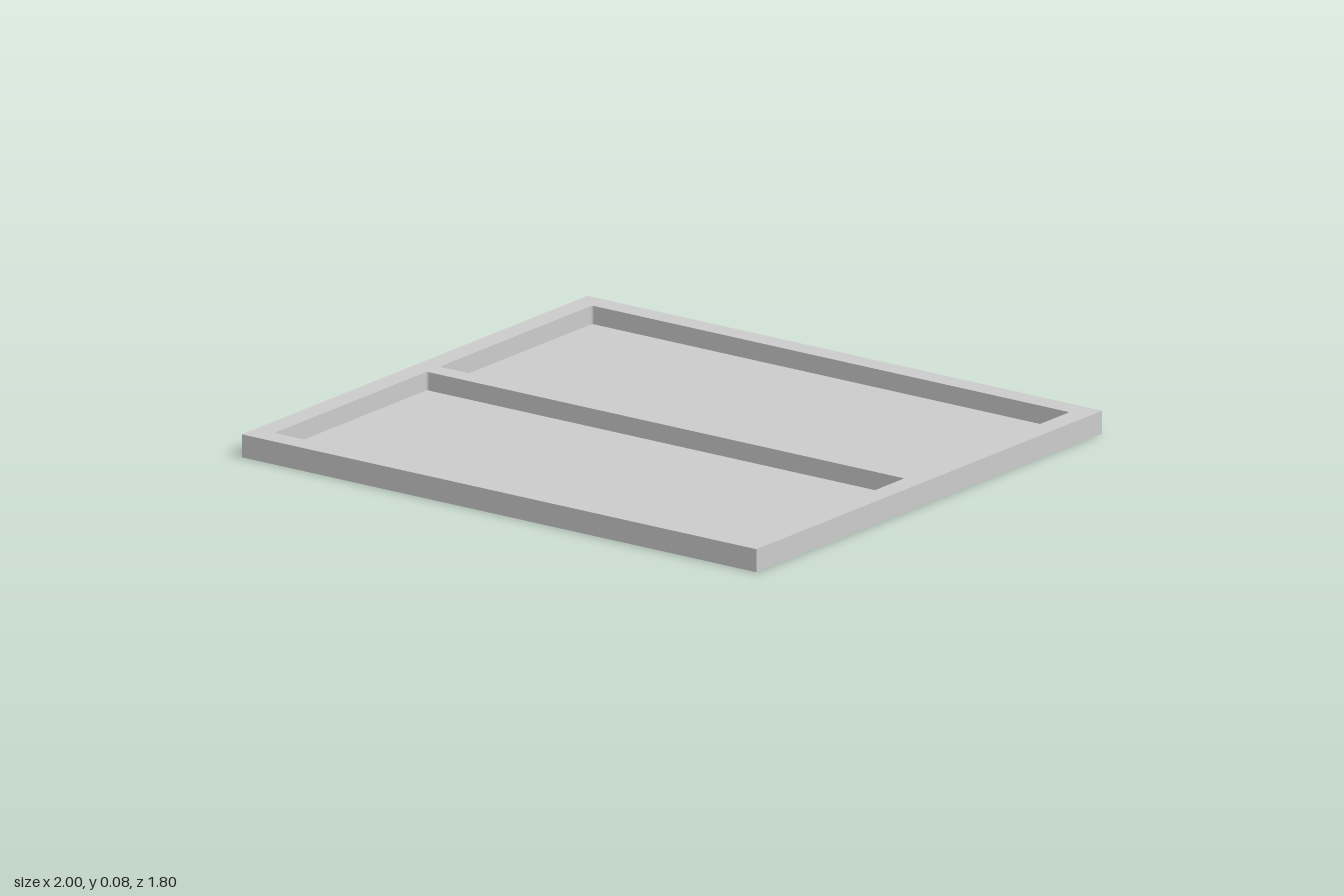
import * as THREE from 'three';

const HEIGHT = 0.075, FLOOR = 0.015;
const HALF_X = 1, HALF_Z = 0.9;
const POCKET = { halfX: 0.928, halfZ: 0.397, z: 0.43, radius: 0.008 };

// Outline of one pocket with slightly rounded corners
function pocketOutline(zc, Type) {
  const { halfX: a, halfZ: b, radius: r } = POCKET;
  const p = new Type();
  p.absarc(a - r, zc + b - r, r, 0, Math.PI / 2);
  p.absarc(-a + r, zc + b - r, r, Math.PI / 2, Math.PI);
  p.absarc(-a + r, zc - b + r, r, Math.PI, Math.PI * 1.5);
  p.absarc(a - r, zc - b + r, r, Math.PI * 1.5, Math.PI * 2);
  p.closePath();
  return p;
}

// Extrude a plan shape upwards from y = 0
function slab(shape, height) {
  const g = new THREE.ExtrudeGeometry(shape, { depth: height, bevelEnabled: false, curveSegments: 4 });
  return g.rotateX(-Math.PI / 2);
}

export function createModel() {
  const group = new THREE.Group();
  group.name = 'twoPocketTray';
  const material = new THREE.MeshStandardMaterial({ color: 0xcccccc });
  const add = (name, geometry) => {
    const mesh = new THREE.Mesh(geometry, material);
    mesh.name = name;
    group.add(mesh);
  };

  // Outer rim and the divider between the pockets
  const rim = new THREE.Shape([
    new THREE.Vector2(-HALF_X, -HALF_Z), new THREE.Vector2(HALF_X, -HALF_Z),
    new THREE.Vector2(HALF_X, HALF_Z), new THREE.Vector2(-HALF_X, HALF_Z),
  ]);
  for (const s of [-1, 1]) rim.holes.push(pocketOutline(s * POCKET.z, THREE.Path));
  add('frame', slab(rim, HEIGHT));

  // Thin floor closing each pocket
  add('frontFloor', slab(pocketOutline(-POCKET.z, THREE.Shape), FLOOR));
  add('backFloor', slab(pocketOutline(POCKET.z, THREE.Shape), FLOOR));

  return group;
}
